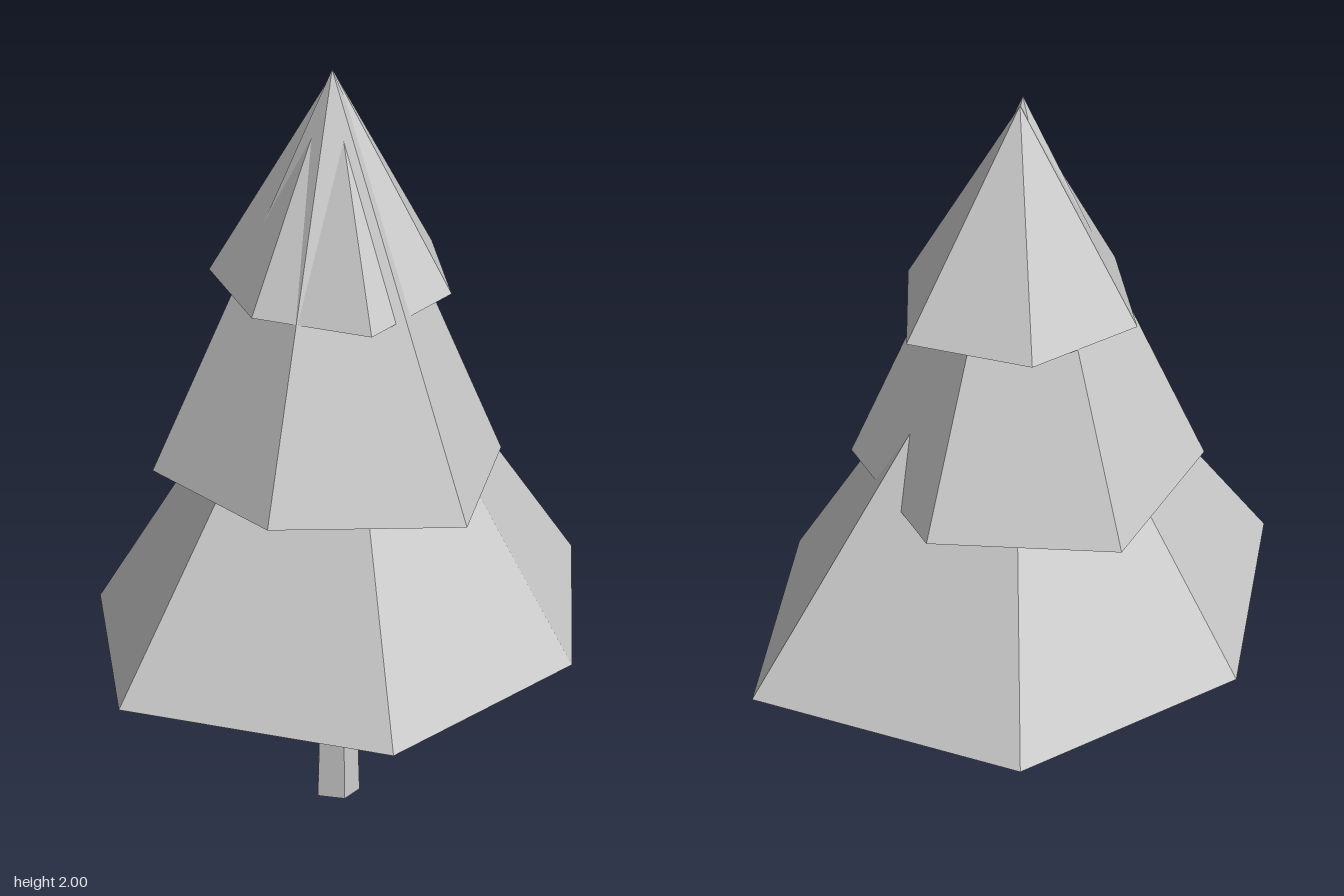
import * as THREE from 'three';

// Closed flat-faced solid: a polygon ring of [x, z] at height y, tapering
// towards tip [x, y, z]; taper 0 ends in a point, otherwise in a smaller ring.
function taperedSolid(ring, y, tip, taper = 0) {
  const apex = new THREE.Vector3(...tip);
  const base = ring.map(([x, z]) => new THREE.Vector3(x, y, z));
  const top = base.map((p) => new THREE.Vector3(
    apex.x + (p.x - apex.x) * taper, apex.y, apex.z + (p.z - apex.z) * taper));
  const centre = base.reduce((c, p) => c.add(p), new THREE.Vector3()).divideScalar(base.length);
  const points = [];
  for (let i = 0; i < base.length; i++) {
    const j = (i + 1) % base.length;
    points.push(centre, base[i], base[j]); // underside
    points.push(base[j], base[i], top[i]); // sloping side
    if (taper > 0) {
      points.push(base[j], top[i], top[j]);
      points.push(apex, top[j], top[i]); // upper cap
    }
  }
  const geometry = new THREE.BufferGeometry().setFromPoints(points);
  geometry.computeVertexNormals();
  return geometry;
}

export function createModel() {
  const tree = new THREE.Group();
  tree.name = 'pineTree';

  const grey = new THREE.MeshStandardMaterial({ color: 0xcccccc });
  grey.name = 'light grey';
  grey.flatShading = true;

  const add = (name, ...shape) => {
    const mesh = new THREE.Mesh(taperedSolid(...shape), grey);
    mesh.name = name;
    tree.add(mesh);
  };

  // Five-sided trunk, its top hidden inside the lowest branches
  add('trunk',
    [[-0.015, 0.08], [-0.06, 0.02], [-0.02, -0.035], [0.045, -0.015], [0.05, 0.055]],
    0, [0, 0.5, 0.02], 0.75);

  // Three uneven six-sided tiers of branches that cut into one another
  add('lowerBranches',
    [[0.18, -0.735], [0.6, -0.16], [0.56, 0.545], [-0.16, 0.73], [-0.605, 0.2], [-0.52, -0.475]],
    0.44, [0, 1.52, 0.01]);
  add('middleBranches',
    [[-0.5, -0.1], [-0.13, -0.425], [0.3, -0.27], [0.515, 0.17], [0.12, 0.48], [-0.325, 0.36]],
    0.92, [0, 2, 0.04]);
  add('upperBranches',
    [[0.04, -0.33], [0.27, -0.1], [0.262, 0.23], [-0.05, 0.315], [-0.31, 0.14], [-0.255, -0.175]],
    1.4, [-0.01, 1.985, 0.02]);

  return tree;
}
